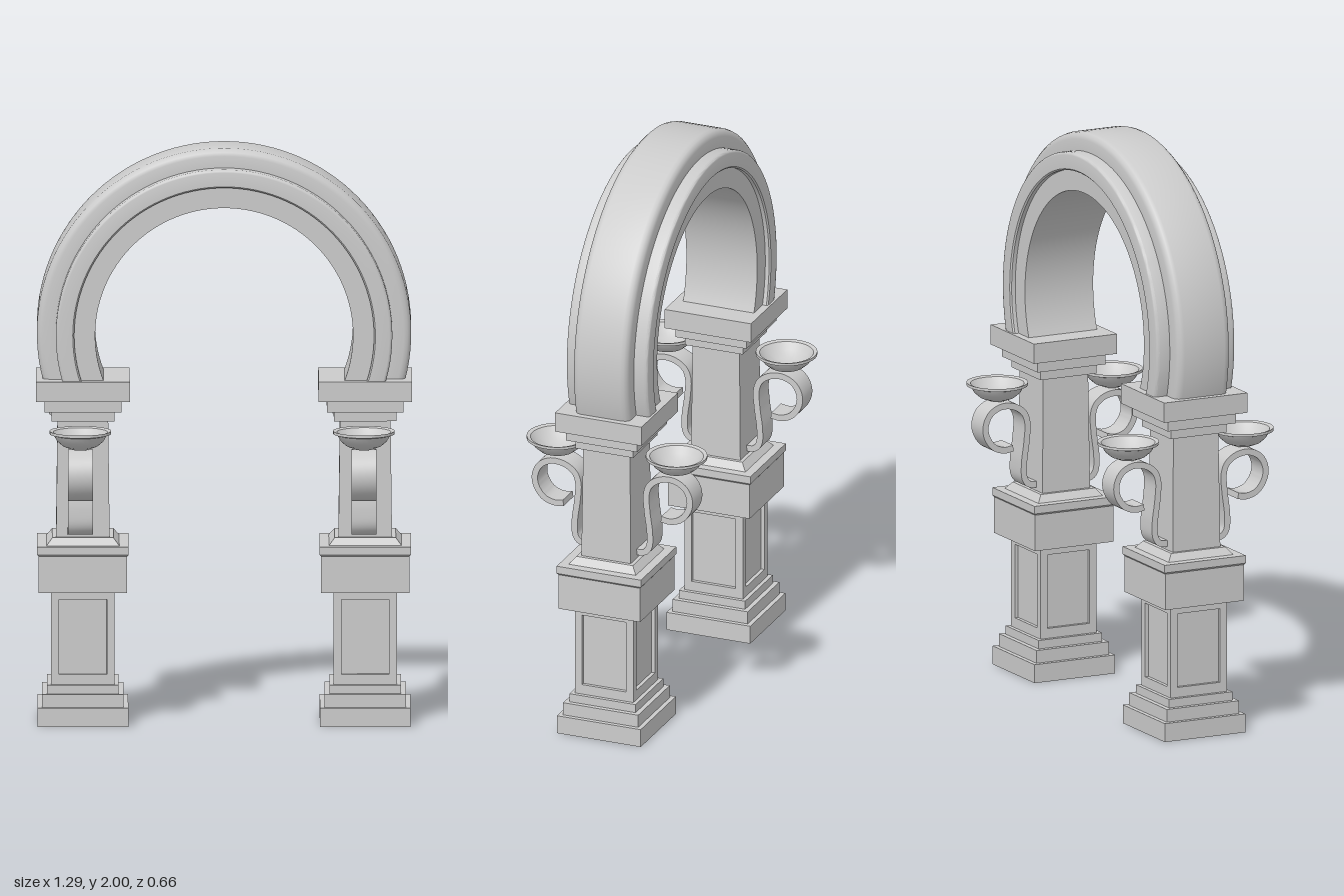
import * as THREE from 'three';
import { toCreasedNormals } from 'three/addons/utils/BufferGeometryUtils.js';

const stone = new THREE.MeshStandardMaterial({ color: 0xcccccc });
const thin = new THREE.MeshStandardMaterial({ color: 0xcccccc, side: THREE.DoubleSide });

function add(parent, name, geometry, material = stone) {
  const mesh = new THREE.Mesh(geometry, material);
  mesh.name = name;
  parent.add(mesh);
  return mesh;
}

// Square moulding: profile of [half width, height], from bottom to top
function squareStack(profile) {
  const pts = profile.map(([h, y]) => new THREE.Vector2(h * Math.SQRT2, y));
  return toCreasedNormals(new THREE.LatheGeometry(pts, 4, Math.PI / 4), 0.05);
}

// Rectangular frame around a sunken panel, facing +z
function panelFrame(halfWidth, y0, y1) {
  const rect = (T, w, a, b) => {
    const s = new T();
    s.moveTo(-w, a);
    s.lineTo(w, a);
    s.lineTo(w, b);
    s.lineTo(-w, b);
    s.closePath();
    return s;
  };
  const shape = rect(THREE.Shape, halfWidth, y0, y1);
  shape.holes.push(rect(THREE.Path, 0.082, 0.175, 0.435));
  return new THREE.ExtrudeGeometry(shape, { depth: 0.013, bevelEnabled: false });
}

function createColumn() {
  const column = new THREE.Group();
  column.name = 'column';

  // Stepped foot
  add(column, 'base', squareStack([
    [0, 0], [0.156, 0], [0.156, 0.065], [0.14, 0.065], [0.14, 0.11],
    [0.123, 0.11], [0.123, 0.14], [0, 0.14],
  ]));

  // Pedestal with a sunken panel on each side
  add(column, 'pedestalCore', new THREE.BoxGeometry(0.192, 0.325, 0.192)).position.y = 0.3025;
  for (let i = 0; i < 4; i++) {
    const frame = add(column, 'panelFrame', panelFrame(i % 2 ? 0.096 : 0.109, 0.14, 0.465));
    frame.rotation.y = (i * Math.PI) / 2;
    frame.position.set(0, 0, 0.096).applyAxisAngle(new THREE.Vector3(0, 1, 0), frame.rotation.y);
  }

  // Middle block with a lip, and the tapering shaft
  add(column, 'block', squareStack([
    [0, 0.465], [0.152, 0.465], [0.152, 0.592], [0.157, 0.598],
    [0.157, 0.625], [0.125, 0.625], [0.105, 0.65], [0, 0.65],
  ]));
  add(column, 'shaft', squareStack([[0.092, 0.65], [0.087, 1.06]]));

  // Stepped capital
  add(column, 'capital', squareStack([
    [0, 1.055], [0.108, 1.055], [0.108, 1.09], [0.132, 1.09], [0.132, 1.13],
    [0.161, 1.13], [0.161, 1.2], [0, 1.2],
  ]));
  return column;
}

// Flat strap bent along a scroll, drawn in the plane of z and y
function strapGeometry() {
  const centre = [0.208, 0.886], r = 0.081;
  const path = [];
  for (let deg = -112; deg >= -340; deg -= 19) {
    const a = (deg * Math.PI) / 180;
    path.push(new THREE.Vector3(centre[0] + r * Math.cos(a), centre[1] + r * Math.sin(a), 0));
  }
  // Scroll opens at the lower wall side, then the tail runs down to the shaft
  path.unshift(new THREE.Vector3(0.182, 0.81, 0));
  path.splice(1, 1, new THREE.Vector3(0.2, 0.805, 0));
  for (const [z, y] of [[0.127, 0.895], [0.13, 0.83], [0.14, 0.75], [0.137, 0.697], [0.12, 0.676], [0.085, 0.672]]) {
    path.push(new THREE.Vector3(z, y, 0));
  }
  // Keep the scroll turning over the top towards the wall
  const scroll = [[0.182, 0.81], [0.215, 0.806], [0.255, 0.82], [0.284, 0.86], [0.288, 0.9], [0.268, 0.94],
    [0.225, 0.961], [0.175, 0.955], [0.14, 0.93]].map(([z, y]) => new THREE.Vector3(z, y, 0));
  const curve = new THREE.CatmullRomCurve3([...scroll, ...path.slice(-6)]);
  const n = 64, half = 0.011, left = [], right = [];
  for (let i = 0; i <= n; i++) {
    const p = curve.getPointAt(i / n), t = curve.getTangentAt(i / n);
    left.push(new THREE.Vector2(p.x - t.y * half, p.y + t.x * half));
    right.unshift(new THREE.Vector2(p.x + t.y * half, p.y - t.x * half));
  }
  const geo = new THREE.ExtrudeGeometry(new THREE.Shape([...left, ...right]), { depth: 0.086, bevelEnabled: false });
  return toCreasedNormals(geo.rotateY(-Math.PI / 2).translate(0.043, 0, 0), 0.6);
}

function createSconce() {
  const sconce = new THREE.Group();
  sconce.name = 'sconce';
  add(sconce, 'scrollBracket', strapGeometry());
  // Shallow open bowl
  const profile = [[0, 0.972], [0.03, 0.976], [0.06, 0.988], [0.08, 1.005], [0.092, 1.026], [0.106, 1.03],
    [0.106, 1.04], [0.093, 1.036], [0.075, 1.012], [0.05, 0.994], [0.025, 0.985], [0, 0.983]];
  const bowl = new THREE.LatheGeometry(profile.map(([x, y]) => new THREE.Vector2(x, y)), 32);
  add(sconce, 'bowl', toCreasedNormals(bowl, 0.6), thin).position.z = 0.222;
  return sconce;
}

// Round arch: moulded section of [radius, depth], swept past the half circle into the capitals
function archGeometry() {
  const front = [];
  const round = (r, z, size) => {
    for (let i = 0; i <= 3; i++) {
      const a = (i * Math.PI) / 6;
      front.push([r - size + size * Math.cos(a), z - size + size * Math.sin(a)]);
    }
  };
  round(0.643, 0.102, 0.025);
  front.push([0.578, 0.102]);
  round(0.578, 0.151, 0.01);
  front.push([0.52, 0.151], [0.515, 0.146], [0.515, 0.132], [0.443, 0.132]);
  const back = front.map(([r, z]) => [r, -z]).reverse();
  const section = [...front, ...back, front[0]].map(([r, z]) => new THREE.Vector2(r, z));
  const extra = 0.37;
  const geo = new THREE.LatheGeometry(section, 72, Math.PI / 2 - extra, Math.PI + 2 * extra);
  return toCreasedNormals(geo.rotateX(Math.PI / 2), 0.6);
}

export function createModel() {
  const model = new THREE.Group();
  model.name = 'archway';

  add(model, 'arch', archGeometry()).position.set(0, 1.357, -0.002);

  for (const side of [-1, 1]) {
    const column = createColumn();
    column.position.x = side * 0.485;
    model.add(column);
    // One sconce in front and one behind
    for (const turn of [0, Math.PI]) {
      const sconce = createSconce();
      sconce.position.x = side * 0.487 - 0.007;
      sconce.rotation.y = turn;
      model.add(sconce);
    }
  }
  return model;
}
